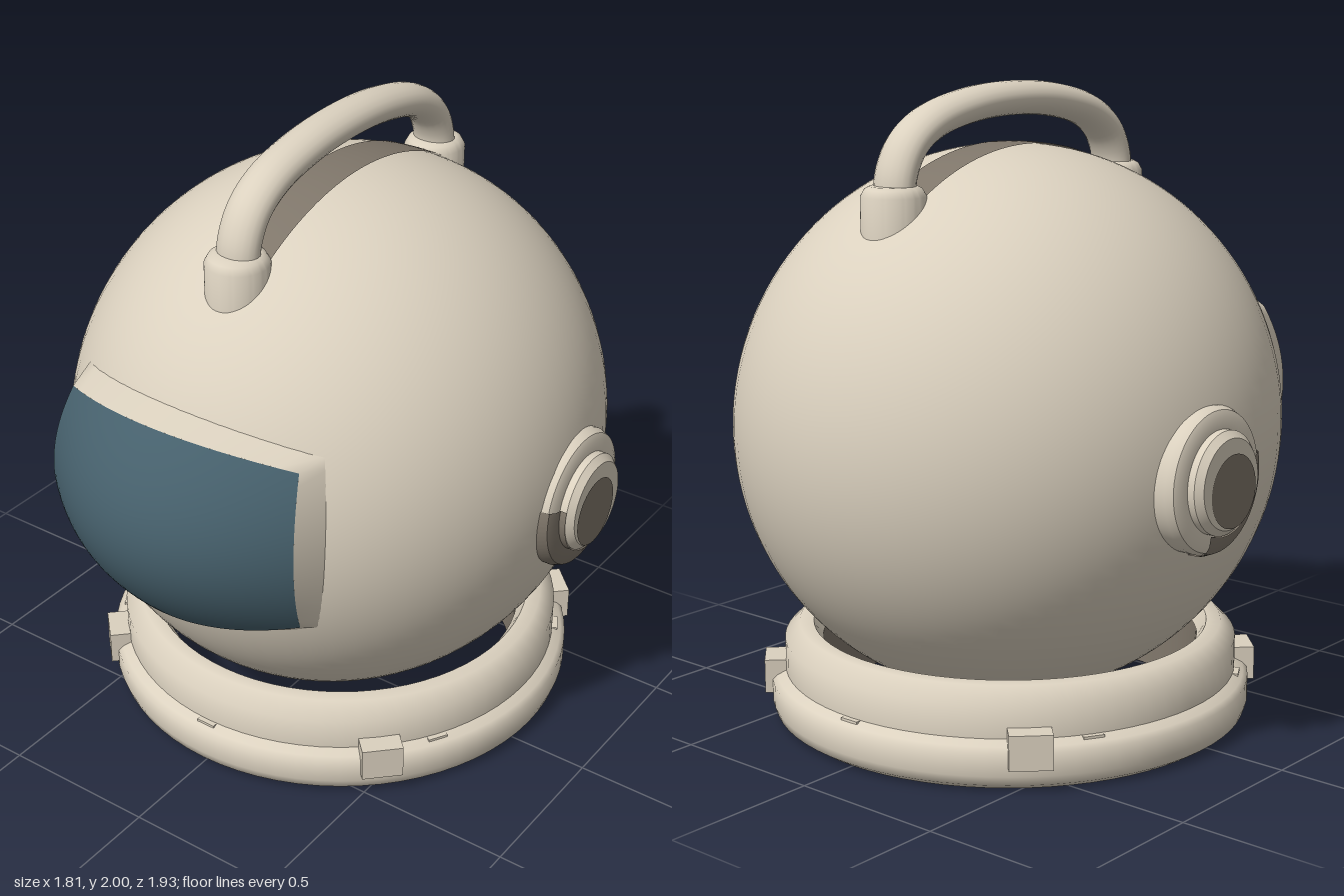
import * as THREE from 'three';
import { toCreasedNormals } from 'three/addons/utils/BufferGeometryUtils.js';

const CY = 0.945, CZ = -0.075; // centre of the shell
const RX = 0.838, RY = 0.865, RZ = 0.89; // shell radii

export function createModel() {
  const group = new THREE.Group();
  const makeMaterial = (name, color) => {
    const m = new THREE.MeshStandardMaterial({ color, side: THREE.DoubleSide });
    m.name = name;
    return m;
  };
  const shellMat = makeMaterial('warm grey', 0xdbd1bf);
  const darkMat = makeMaterial('dark grey', 0x7f766a);
  const glassMat = makeMaterial('blue glass', 0x46606c);

  const add = (name, geometry, x = 0, y = 0, z = 0, material = shellMat) => {
    const mesh = new THREE.Mesh(geometry, material);
    mesh.name = name;
    mesh.position.set(x, y, z);
    group.add(mesh);
    return mesh;
  };
  const lathe = (pts, crease = 0.5, start = 0, sweep = Math.PI * 2) => toCreasedNormals(
    new THREE.LatheGeometry(pts.map(([r, y]) => new THREE.Vector2(r, y)), 72, start, sweep), crease);
  const reshape = (geometry, rule) => {
    const p = geometry.attributes.position;
    for (let i = 0; i < p.count; i++) p.setXYZ(i, ...rule(p.getX(i), p.getY(i)));
    geometry.computeVertexNormals();
    return geometry;
  };
  // Front depth of the shell at a given x and y
  const shellZ = (x, y) => CZ + RZ * Math.sqrt(1 - (x / RX) ** 2 - ((y - CY) / RY) ** 2);

  // Round shell, open at the neck
  add('shell', new THREE.SphereGeometry(1, 72, 54, 0, Math.PI * 2, 0, 2.61).scale(RX, RY, RZ), 0, CY, CZ);

  // Hollow neck ring with a dark inner wall
  add('neckRing', lathe([
    [0.585, 0.004], [0.65, 0], [0.725, 0], [0.755, 0.02], [0.765, 0.05], [0.765, 0.12], [0.75, 0.135],
    [0.722, 0.15], [0.722, 0.25], [0.675, 0.297], [0.63, 0.297], [0.6, 0.25],
  ], 1), 0, 0, CZ);
  add('ringInnerWall', lathe([[0.6, 0.25], [0.585, 0.004]]), 0, 0, CZ, darkMat);

  // Four clamps and six small tabs around the ring
  for (let i = 0; i < 4; i++) {
    const a = Math.PI / 4 + i * Math.PI / 2;
    add('ringClamp', new THREE.BoxGeometry(0.13, 0.108, 0.07),
      0.752 * Math.sin(a), 0.13, CZ + 0.752 * Math.cos(a)).rotation.y = a;
  }
  for (let i = 0; i < 6; i++) {
    const a = i * Math.PI / 3;
    add('ringTab', new THREE.BoxGeometry(0.065, 0.008, 0.034),
      0.722 * Math.sin(a), 0.146, CZ + 0.722 * Math.cos(a)).rotation.y = a;
  }

  // Stepped side caps, dark on the face and on the lower front of the rim
  for (const s of [1, -1]) {
    const side = s > 0 ? 'left' : 'right';
    const turn = -s * Math.PI / 2;
    add(side + 'Cap', lathe([
      [0.22, 0.7], [0.22, 0.825], [0.21, 0.848], [0.19, 0.857], [0.155, 0.857],
      [0.155, 0.88], [0.135, 0.9], [0, 0.9],
    ]), 0, 0.89, -0.15).rotation.z = turn;
    add(side + 'CapDarkRim', lathe([
      [0.224, 0.72], [0.224, 0.826], [0.213, 0.852], [0.19, 0.861], [0.159, 0.861], [0.159, 0.882],
    ], 0.5, s > 0 ? -0.26 : -1.83, 2.09), 0, 0.89, -0.15, darkMat).rotation.z = turn;
    add(side + 'CapDarkFace', new THREE.CircleGeometry(0.11, 40),
      s * 0.903, 0.868, -0.14, darkMat).rotation.y = s * Math.PI / 2;
  }

  // Carrying handle with its two sockets
  const half = [[0.515, 1.66], [0.505, 1.75], [0.46, 1.83], [0.37, 1.89], [0.2, 1.933]];
  const path = [
    ...half.map(([z, y]) => new THREE.Vector3(0, y, z)),
    new THREE.Vector3(0, 1.947, 0),
    ...half.slice().reverse().map(([z, y]) => new THREE.Vector3(0, y, -z)),
  ];
  const bar = new THREE.TubeGeometry(new THREE.CatmullRomCurve3(path), 64, 0.053, 20);
  add('handle', bar.scale(1.33, 1, 1), 0, 0, CZ);
  for (const s of [1, -1]) {
    add('handleSocket', lathe([[0.097, 1.5], [0.097, 1.69], [0.085, 1.712], [0.07, 1.72], [0, 1.72]], 1),
      0, 0, CZ + s * 0.517);
  }

  // Dark strip on the shell under the handle
  const strip = reshape(new THREE.PlaneGeometry(0.14, 1, 8, 40), (x, z) =>
    [x, 0.004 + RY * Math.sqrt(1 - (x / RX) ** 2 - (z / RZ) ** 2), -z]);
  add('handleStrip', strip, 0, CY, CZ, darkMat);

  // Domed visor over a square of u, v from -1 to 1
  const VX = -0.018, VY = 0.985;
  const glass = (u, v) => [
    VX + u * (0.452 - 0.033 * v * v),
    VY + v * (0.322 - 0.055 * u * u),
    0.965 - 0.195 * u * u - 0.15 * v * v + 0.075 * u * u * v * v,
  ];
  add('visor', reshape(new THREE.PlaneGeometry(2, 2, 28, 28), glass), 0, 0, 0, glassMat);

  // Where the visor frame meets the shell, sunk by a given depth
  const onShell = (u, v, sink) => {
    const [gx, gy] = glass(u, v);
    const x = VX + (gx - VX) * 1.08, y = VY + (gy - VY) * 1.085;
    return [x, y, shellZ(x, y) - sink];
  };

  // Flared frame from the visor edge back to the shell
  const frame = reshape(new THREE.PlaneGeometry(1, 1, 64, 1), (px, py) => {
    const t = (px + 0.5) * 4;
    const side = Math.min(3, Math.floor(t));
    const a = 2 * (t - side) - 1;
    const [u, v] = [[a, 1], [1, -a], [-a, -1], [-1, a]][side];
    return py < 0 ? glass(u, v) : onShell(u, v, 0.01);
  });
  add('visorFrame', toCreasedNormals(frame, 0.9));

  // Dark lining inside the shell behind the visor
  const lining = reshape(new THREE.PlaneGeometry(2, 2, 24, 24), (u, v) => onShell(u, v, 0.016));
  add('visorLining', lining, 0, 0, 0, darkMat);

  return group;
}
